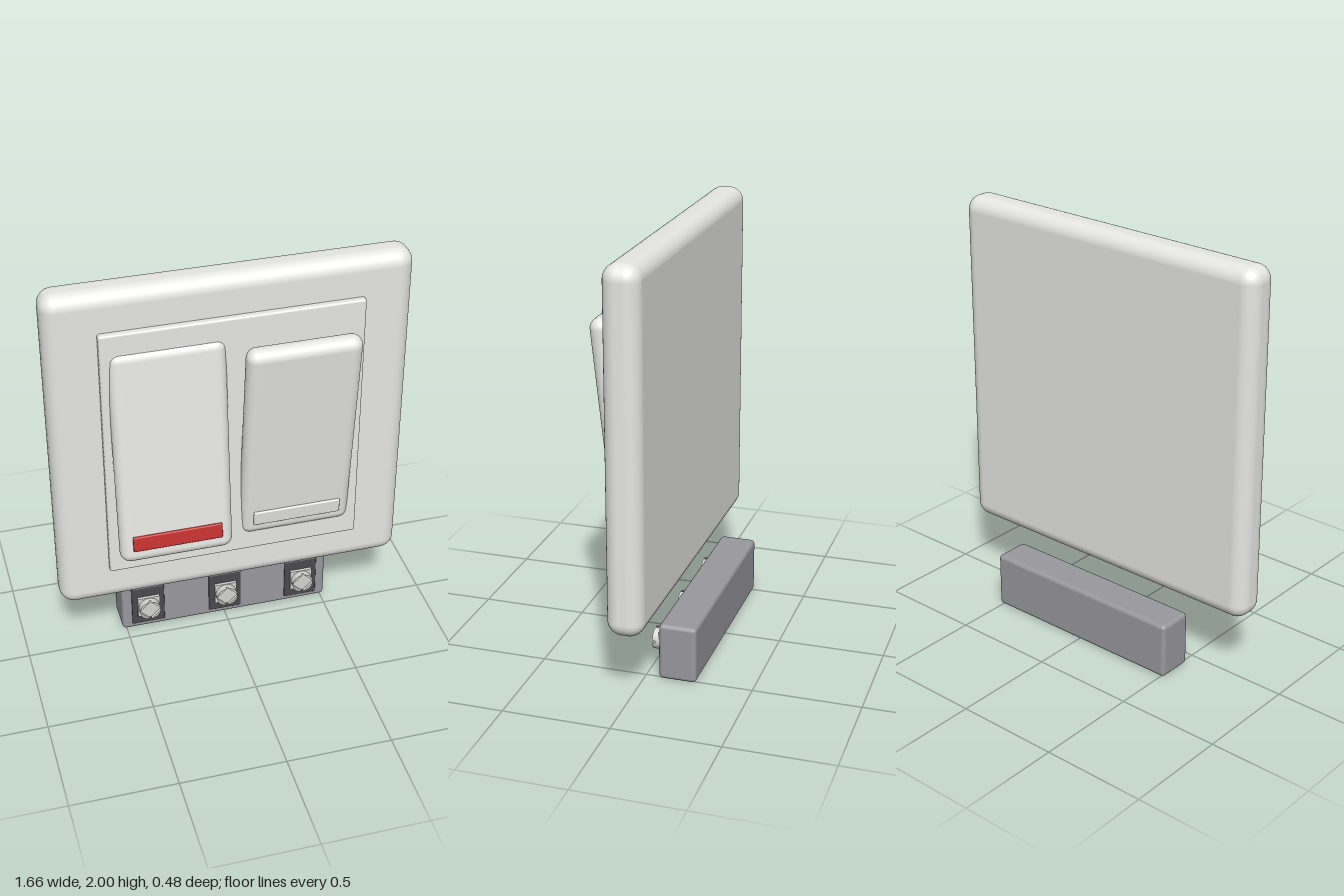
import * as THREE from 'three';
import { RoundedBoxGeometry } from 'three/addons/geometries/RoundedBoxGeometry.js';

const mat = (name, color) => {
  const m = new THREE.MeshStandardMaterial({ color });
  m.name = name;
  return m;
};

export function createModel() {
  const white = mat('white plastic', 0xe6e6e3);
  const red = mat('red indicator', 0xc83232);
  const grey = mat('grey plastic', 0x98989e);
  const dark = mat('dark plastic', 0x48484e);
  const metal = mat('screw metal', 0xd4d4d0);

  const model = new THREE.Group();
  model.name = 'doubleLightSwitch';

  const add = (parent, name, geometry, material, x, y, z) => {
    const mesh = new THREE.Mesh(geometry, material);
    mesh.name = name;
    mesh.position.set(x, y, z);
    parent.add(mesh);
    return mesh;
  };
  const rounded = (w, h, d, r, seg = 4) => new RoundedBoxGeometry(w, h, d, seg, r);

  // Wall plate and the raised panel around the rockers
  add(model, 'wallPlate', rounded(1.664, 1.664, 0.17, 0.07, 6), white, 0, 1.168, 0);
  add(model, 'innerPanel', rounded(1.2, 1.28, 0.06, 0.01, 3), white, 0, 1.17, 0.085);

  // Two rockers tilted in opposite directions about a pivot inside the plate
  const tilt = 0.105;
  for (const [name, x, angle, lamp] of [
    ['rightRocker', -0.3, -tilt, red],
    ['leftRocker', 0.295, tilt, white],
  ]) {
    const rocker = new THREE.Group();
    rocker.name = name;
    rocker.position.set(x, 1.168, 0);
    rocker.rotation.x = angle;
    add(rocker, 'rockerKey', rounded(0.53, 1.07, 0.1, 0.049, 6), white, 0, 0, 0.136);
    add(rocker, 'indicatorBar', rounded(0.42, 0.076, 0.03, 0.006, 2), lamp, 0, -0.425, 0.182);
    model.add(rocker);
  }

  // Terminal block below the plate
  add(model, 'terminalBlock', rounded(1.04, 0.272, 0.176, 0.02), grey, 0, 0.136, -0.152);

  // Quarter of a screw head, set back from the cross slot
  const gap = 0.005, radius = 0.052;
  const start = Math.asin(gap / radius);
  const quarter = new THREE.Shape();
  quarter.moveTo(gap, gap);
  quarter.absarc(0, 0, radius, start, Math.PI / 2 - start, false);
  quarter.closePath();
  const quarterGeometry = new THREE.ExtrudeGeometry(quarter, {
    depth: 0.016, bevelEnabled: false, curveSegments: 8,
  });
  const stemGeometry = new THREE.CylinderGeometry(radius, radius, 0.03, 32).rotateX(Math.PI / 2);

  // Three terminals, each with a clamp plate and a cross-slotted screw
  for (const x of [-0.39, 0, 0.39]) {
    const terminal = new THREE.Group();
    terminal.name = 'terminal';
    terminal.position.set(x, 0.14, 0);
    add(terminal, 'terminalPad', rounded(0.164, 0.22, 0.04, 0.006, 2), dark, 0, 0, -0.077);
    add(terminal, 'clampPlate', new THREE.BoxGeometry(0.11, 0.11, 0.03), metal, 0, 0, -0.057);
    add(terminal, 'screwStem', stemGeometry, metal, 0, 0, -0.039);
    for (let i = 0; i < 4; i++) {
      const part = add(terminal, 'screwHeadQuarter', quarterGeometry, metal, 0, 0, -0.025);
      part.rotation.z = i * Math.PI / 2;
    }
    model.add(terminal);
  }
  return model;
}
